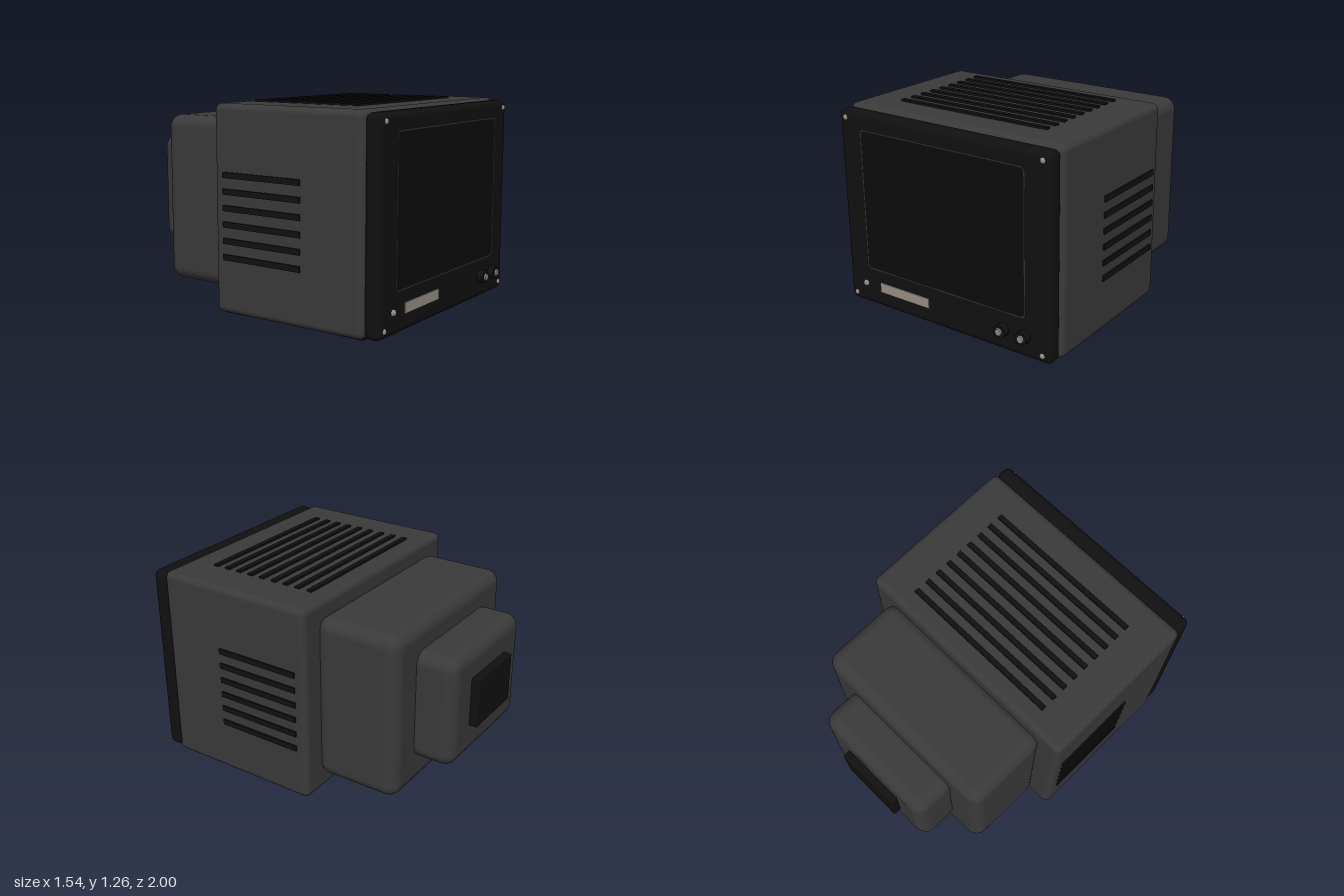
import * as THREE from 'three';
import { RoundedBoxGeometry } from 'three/addons/geometries/RoundedBoxGeometry.js';

const material = (name, color) => {
  const m = new THREE.MeshStandardMaterial({ color });
  m.name = name;
  return m;
};

// Rounded rectangle outline, centred on the origin
function roundedRect(Type, w, h, r) {
  const s = new Type(), x = w / 2, y = h / 2;
  s.moveTo(-x + r, -y);
  s.lineTo(x - r, -y);
  s.absarc(x - r, -y + r, r, -Math.PI / 2, 0);
  s.lineTo(x, y - r);
  s.absarc(x - r, y - r, r, 0, Math.PI / 2);
  s.lineTo(-x + r, y);
  s.absarc(-x + r, y - r, r, Math.PI / 2, Math.PI);
  s.lineTo(-x, -y + r);
  s.absarc(-x + r, -y + r, r, Math.PI, Math.PI * 1.5);
  return s;
}

export function createModel() {
  const model = new THREE.Group();
  model.name = 'monitor';
  const casing = material('charcoal casing', 0x3a3a3a);
  const black = material('black plastic', 0x101010);
  const glass = material('dark glass', 0x0c0c0d);
  const trim = material('grey trim', 0x303030);
  const metal = material('grey metal', 0x8c8a84);
  const label = material('label plate', 0x968f84);

  const add = (name, geometry, mat, x, y, z) => {
    const mesh = new THREE.Mesh(geometry, mat);
    mesh.name = name;
    mesh.position.set(x, y, z);
    model.add(mesh);
    return mesh;
  };
  // Box given by its extents on each axis, rounded when r > 0
  const block = (name, mat, [x0, x1], [y0, y1], [z0, z1], r = 0) => {
    const size = [x1 - x0, y1 - y0, z1 - z0];
    const geometry = r ? new RoundedBoxGeometry(...size, 5, r) : new THREE.BoxGeometry(...size);
    return add(name, geometry, mat, (x0 + x1) / 2, (y0 + y1) / 2, (z0 + z1) / 2);
  };

  // Casing, stepping down towards the back
  block('mainCasing', casing, [-0.76, 0.76], [0.008, 1.248], [-0.185, 0.85], 0.04);
  block('rearCasing', casing, [-0.625, 0.625], [0.115, 1.155], [-0.705, -0.155], 0.08);
  block('tubeCap', casing, [-0.415, 0.415], [0.305, 1.0], [-0.95, -0.65], 0.08);
  block('rearConnector', black, [-0.207, 0.207], [0.51, 0.82], [-1.0, -0.94], 0.01);

  // Front bezel
  block('bezel', black, [-0.75, 0.75], [0.015, 1.236], [0.845, 0.95], 0.04);

  // Screen trim and glass
  const frame = roundedRect(THREE.Shape, 1.166, 0.876, 0.03);
  frame.holes.push(roundedRect(THREE.Path, 1.152, 0.862, 0.025));
  add('screenTrim', new THREE.ExtrudeGeometry(frame, { depth: 0.004, bevelEnabled: false }),
    trim, 0, 0.697, 0.949);
  const pane = roundedRect(THREE.Shape, 1.152, 0.862, 0.025);
  add('screenGlass', new THREE.ExtrudeGeometry(pane, { depth: 0.003, bevelEnabled: false }),
    glass, 0, 0.697, 0.949);

  // Top vents
  for (let i = 0; i < 9; i++) {
    const z = -0.052 + i * 0.0868;
    block('topVent', black, [-0.52, 0.52], [1.235, 1.26], [z - 0.016, z + 0.016]);
  }

  // Side vents
  for (const side of [-1, 1]) {
    for (let i = 0; i < 6; i++) {
      const vent = block('sideVent', black, [-0.0125, 0.0125], [0, 0.035], [-0.115, 0.44]);
      vent.position.x = side * 0.7575;
      vent.position.y = 0.35 + i * 0.0972;
    }
  }

  // Corner screws
  const dome = new THREE.SphereGeometry(0.018, 16, 12);
  for (const x of [-0.695, 0.695]) {
    for (const y of [0.066, 1.189]) add('screw', dome, metal, x, y, 0.945);
  }

  // Indicator, label and knobs
  add('indicator', new THREE.SphereGeometry(0.02, 16, 12), metal, -0.608, 0.152, 0.95);
  block('labelPlate', label, [-0.488, -0.107], [0.121, 0.184], [0.947, 0.956]);
  for (const x of [0.43, 0.578]) {
    const knob = add('knob', new THREE.CylinderGeometry(0.04, 0.04, 0.045, 24), black, x, 0.152, 0.968);
    knob.rotation.x = Math.PI / 2;
    const cap = add('knobCap', new THREE.CylinderGeometry(0.02, 0.023, 0.012, 20), metal, x, 0.152, 0.994);
    cap.rotation.x = Math.PI / 2;
  }

  // Feet
  for (const x of [-0.63, 0.63]) {
    for (const z of [-0.085, 0.755]) {
      block('foot', black, [x - 0.08, x + 0.08], [0, 0.04], [z - 0.07, z + 0.07]);
    }
  }
  return model;
}
